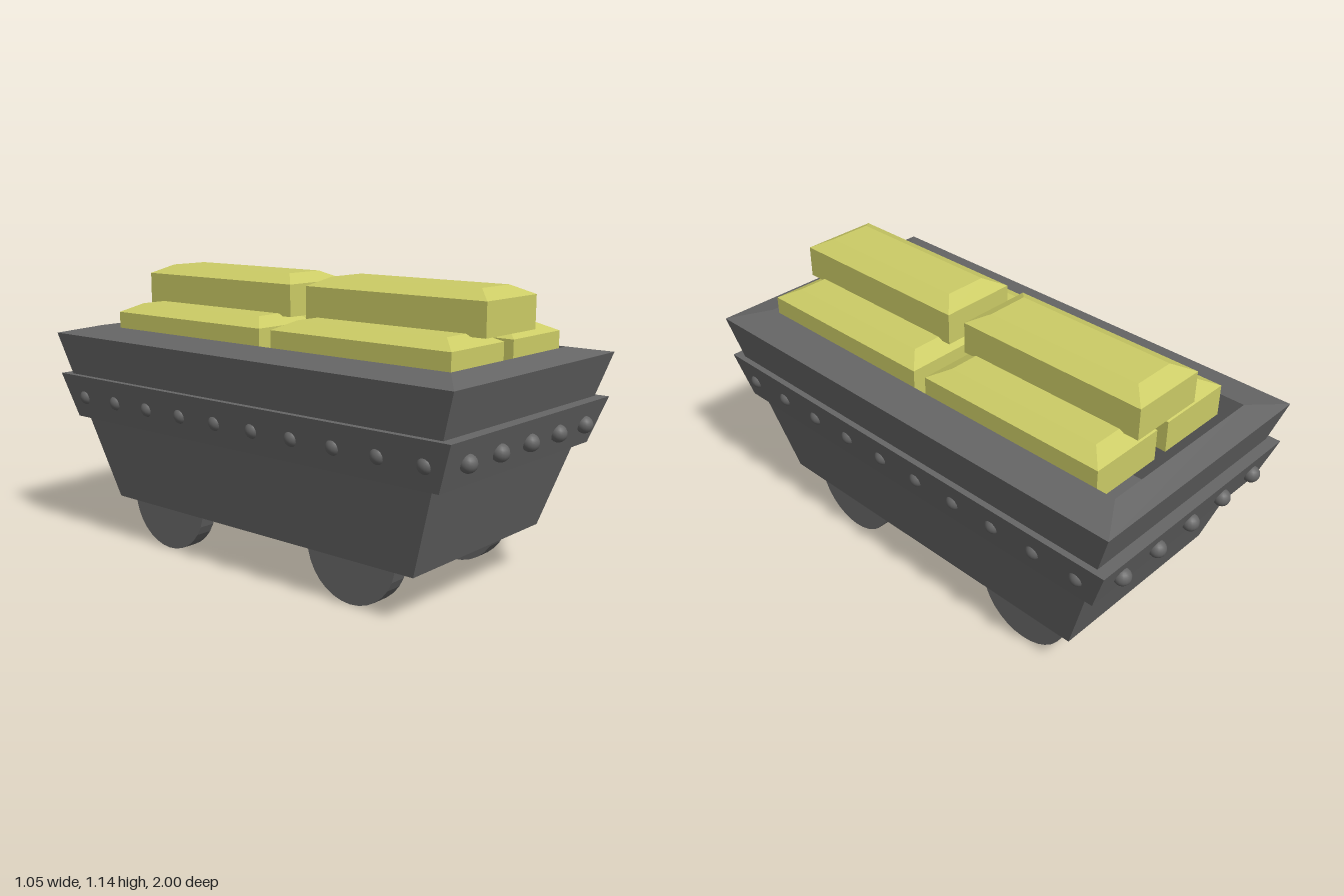
import * as THREE from 'three';

const iron = new THREE.MeshStandardMaterial({ color: 0x666666, flatShading: true });
const rivetIron = new THREE.MeshStandardMaterial({ color: 0x666666 });
const gold = new THREE.MeshStandardMaterial({ color: 0xcccc66, flatShading: true });

// Rectangular cross-sections [y, halfX, backZ, frontZ] joined in sequence
function loft(sections, capped = true) {
  const pos = [], idx = [];
  for (const [y, x, z0, z1] of sections) {
    pos.push(-x, y, z1, x, y, z1, x, y, z0, -x, y, z0);
  }
  const n = sections.length;
  for (let i = 0; i < (capped ? n - 1 : n); i++) {
    const a = i * 4, b = ((i + 1) % n) * 4;
    for (let j = 0; j < 4; j++) {
      const k = (j + 1) % 4;
      idx.push(a + j, a + k, b + k, a + j, b + k, b + j);
    }
  }
  if (capped) {
    const t = (n - 1) * 4;
    idx.push(0, 2, 1, 0, 3, 2, t, t + 1, t + 2, t, t + 2, t + 3);
  }
  const g = new THREE.BufferGeometry();
  g.setAttribute('position', new THREE.Float32BufferAttribute(pos, 3));
  g.setIndex(idx);
  const flat = g.toNonIndexed();
  flat.computeVertexNormals();
  return flat;
}

export function createModel() {
  const model = new THREE.Group();
  model.name = 'mineCart';

  const add = (name, geometry, material, x = 0, y = 0, z = 0) => {
    const mesh = new THREE.Mesh(geometry, material);
    mesh.name = name;
    mesh.position.set(x, y, z);
    model.add(mesh);
    return mesh;
  };

  // Tapered tub: outside, sloped rim, then down into the hollow
  add('tub', loft([
    [0.185, 0.405, -0.77, 0.77],
    [0.875, 0.525, -1, 1],
    [0.9, 0.37, -0.9, 0.88],
    [0.42, 0.285, -0.74, 0.72],
  ]), iron);

  // Raised band around the tub
  add('band', loft([
    [0.525, 0.487, -0.925, 0.925],
    [0.705, 0.52, -0.99, 0.99],
    [0.705, 0.48, -0.93, 0.93],
    [0.525, 0.45, -0.87, 0.87],
  ], false), iron);

  // Rivets on the ends and sides of the band
  const rivet = new THREE.SphereGeometry(0.033, 16, 12);
  for (const s of [-1, 1]) {
    for (let i = 0; i < 5; i++) add('endRivet', rivet, rivetIron, (i - 2) * 0.192, 0.615, s * 0.965);
    for (let i = 0; i < 10; i++) add('sideRivet', rivet, rivetIron, s * 0.487, 0.615, 0.875 - i * 0.1928);
  }

  // Wheels, partly sunk into the tub
  const wheel = new THREE.CylinderGeometry(0.205, 0.205, 0.07, 32).rotateZ(Math.PI / 2);
  for (const x of [-0.33, 0.33]) {
    for (const z of [0.46, -0.512]) add('wheel', wheel, iron, x, 0.205, z);
  }

  // Gold bars with bevelled tops: two pairs below, two stacked above
  const bar = loft([
    [0, 0.159, -0.404, 0.404],
    [0.125, 0.159, -0.404, 0.404],
    [0.16, 0.087, -0.335, 0.335],
  ]);
  for (const z of [0.455, -0.412]) {
    add('lowerBar', bar, gold, -0.18, 0.835, z);
    add('lowerBar', bar, gold, 0.2, 0.835, z);
    add('upperBar', bar, gold, 0.005, 0.985, z + (z > 0 ? 0.012 : -0.01));
  }

  return model;
}
